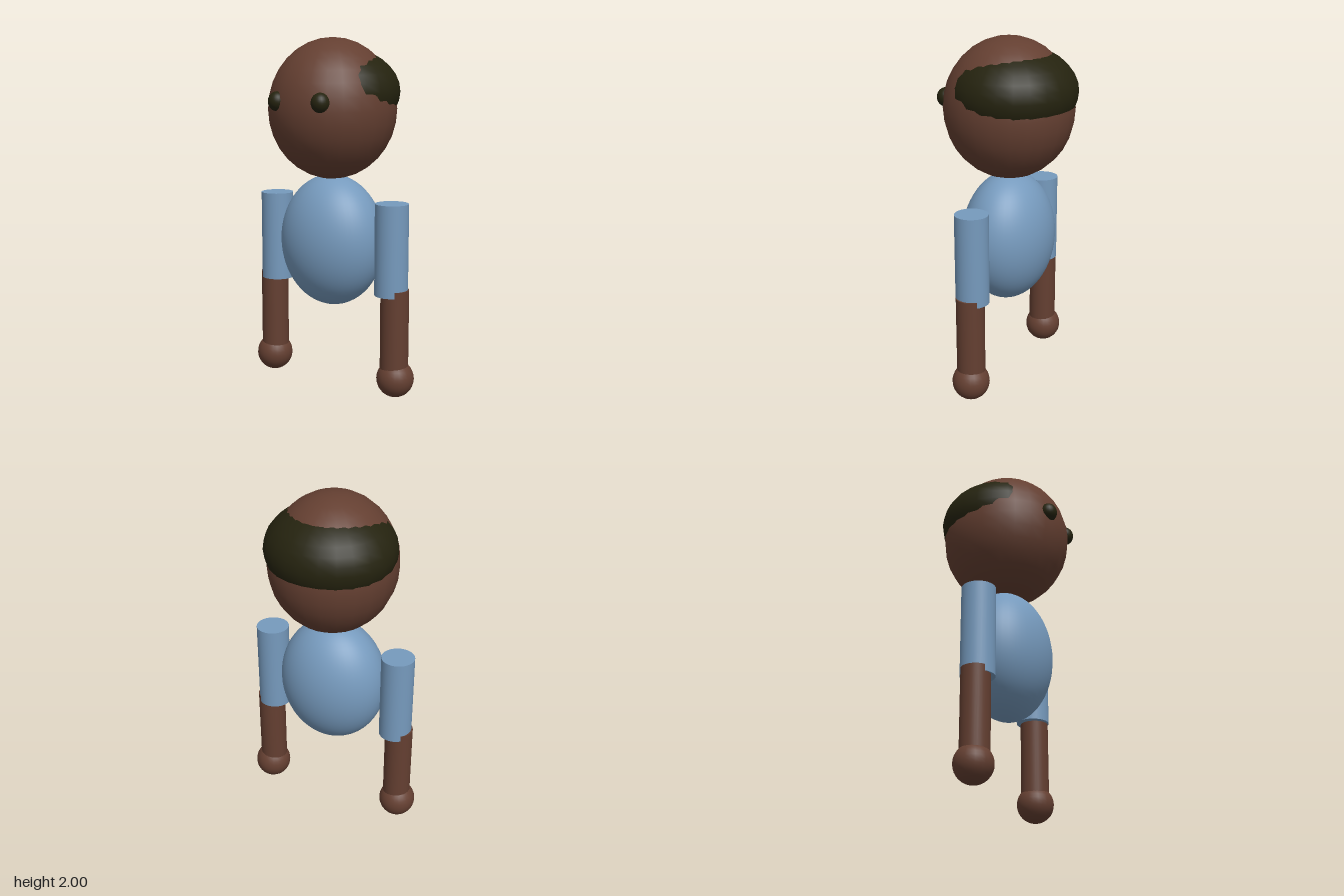
import * as THREE from 'three';

const material = (name, color) => {
  const m = new THREE.MeshStandardMaterial({ color });
  m.name = name;
  return m;
};

export function createModel() {
  const skin = material('brown skin', 0x643f31);
  const shirt = material('blue shirt', 0x769abd);
  const dark = material('dark hair', 0x25230f);

  const model = new THREE.Group();
  model.name = 'figure';

  const add = (name, geometry, mat, x, y, z) => {
    const mesh = new THREE.Mesh(geometry, mat);
    mesh.name = name;
    mesh.position.set(x, y, z);
    model.add(mesh);
    return mesh;
  };

  // Ellipsoid with the given radii
  const ellipsoid = (name, mat, [x, y, z], [rx, ry, rz], w = 24, h = 16) =>
    add(name, new THREE.SphereGeometry(1, w, h).scale(rx, ry, rz), mat, x, y, z);

  // Upright cylinder between two heights
  const column = (name, mat, x, z, r, y0, y1) =>
    add(name, new THREE.CylinderGeometry(r, r, y1 - y0, 32), mat, x, (y0 + y1) / 2, z);

  // Head, with the hair as a flatter ellipsoid that breaks through at the back and sides
  ellipsoid('head', skin, [0, 1.605, 0.005], [0.36, 0.395, 0.37]);
  ellipsoid('hair', dark, [0, 1.7, -0.027], [0.366, 0.255, 0.352]);

  // Egg-shaped body
  ellipsoid('torso', shirt, [0, 0.855, 0.007], [0.315, 0.378, 0.252], 48, 32);

  // Mirrored eyes and arms
  for (const [side, s] of [['left', 1], ['right', -1]]) {
    ellipsoid(`${side}Eye`, dark, [s * 0.143, 1.655, 0.327], [0.051, 0.054, 0.051]);
    column(`${side}Sleeve`, shirt, s * 0.397, 0.008, 0.094, 0.585, 1.1);
    column(`${side}Forearm`, skin, s * 0.421, 0.008, 0.08, 0.15, 0.62);
    ellipsoid(`${side}Hand`, skin, [s * 0.428, 0.106, 0.006], [0.106, 0.106, 0.106]);
  }

  return model;
}
